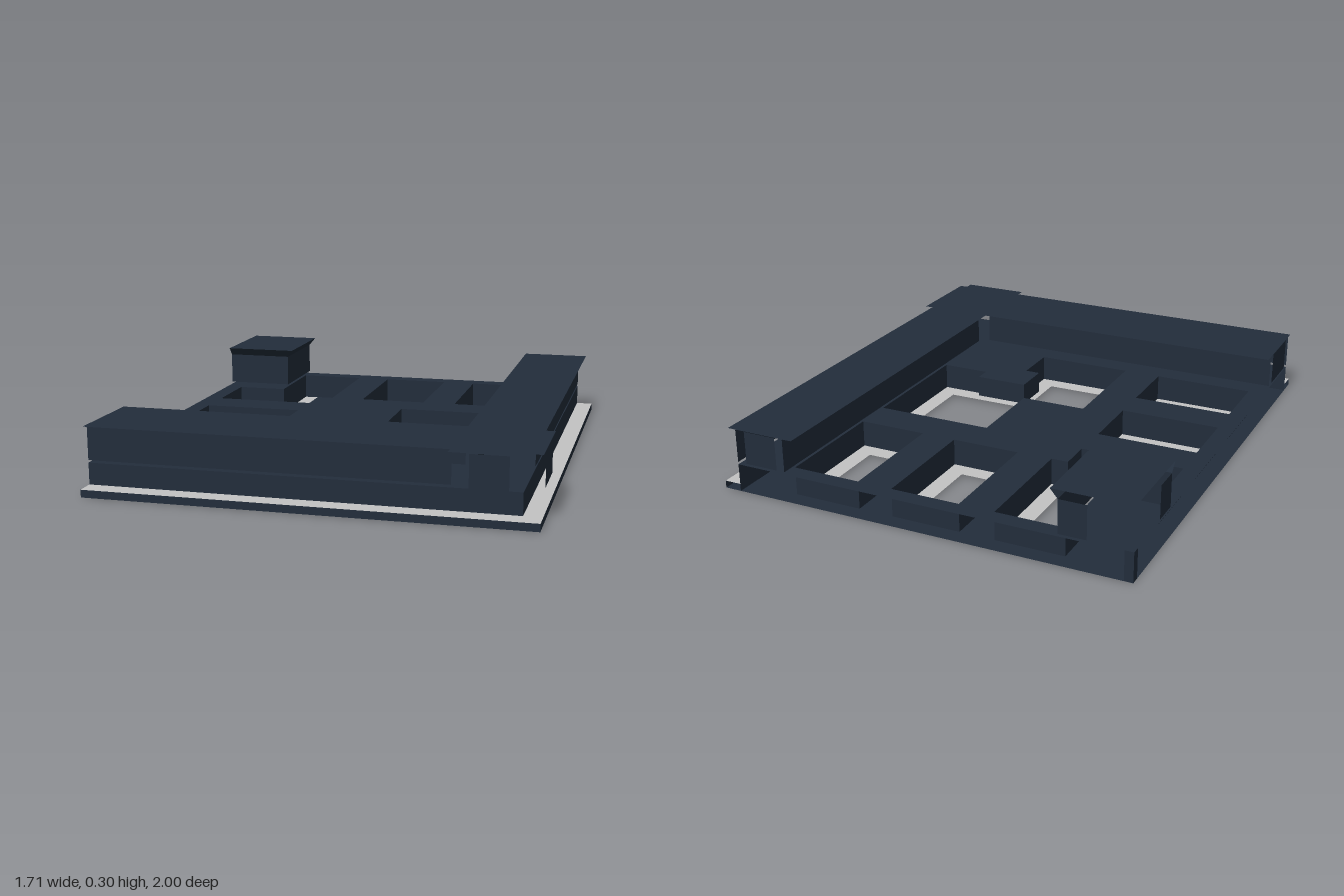
import * as THREE from 'three';

const navy = new THREE.MeshStandardMaterial({ color: 0x222d3b, side: THREE.DoubleSide });
navy.name = 'dark navy';
const grey = new THREE.MeshStandardMaterial({ color: 0xc4c4c4, side: THREE.DoubleSide });
grey.name = 'light grey';

// Window outlines in plan, as [x, z] corners; inner outlines sit 0.07 inside
const rect = (x0, x1, z0, z1) => [[x0, z0], [x1, z0], [x1, z1], [x0, z1]];
const windows = [
  rect(-0.145, 0.14, -0.93, -0.44),
  rect(0.285, 0.57, -0.93, -0.44),
  rect(-0.785, -0.365, -0.14, 0.13),
  rect(-0.785, -0.365, 0.285, 0.565),
  [[-0.57, -0.93], [-0.29, -0.93], [-0.29, -0.435], [-0.36, -0.435],
    [-0.36, -0.3], [-0.785, -0.3], [-0.785, -0.57], [-0.57, -0.57]],
  [[0.075, -0.28], [0.57, -0.28], [0.57, 0.28], [0.205, 0.28],
    [0.205, 0.565], [-0.205, 0.565], [-0.205, 0.075], [0.075, 0.075]],
];

// Moves every edge of a right-angled clockwise outline inward by d
function inset(points, d) {
  const n = points.length;
  const normal = (a, b) => {
    const l = Math.hypot(b[0] - a[0], b[1] - a[1]);
    return [-(b[1] - a[1]) / l, (b[0] - a[0]) / l];
  };
  return points.map((p, i) => {
    const n0 = normal(points[(i + n - 1) % n], p);
    const n1 = normal(p, points[(i + 1) % n]);
    return [p[0] + d * (n0[0] + n1[0]), p[1] + d * (n0[1] + n1[1])];
  });
}

function add(group, name, geometry, material) {
  const mesh = new THREE.Mesh(geometry, material);
  mesh.name = name;
  group.add(mesh);
  return mesh;
}

// Flat horizontal sheet with holes, facing up
function sheet(group, name, outline, holes, y, material) {
  const vec = (pts) => pts.map(([x, z]) => new THREE.Vector2(x, -z));
  const shape = new THREE.Shape(vec(outline));
  holes.forEach((h) => shape.holes.push(new THREE.Path(vec(h))));
  const geometry = new THREE.ShapeGeometry(shape);
  geometry.rotateX(-Math.PI / 2);
  add(group, name, geometry, material).position.y = y;
}

// Upright panel from plan point a to plan point b
function panel(group, name, a, b, y0, y1, material = navy) {
  const dx = b[0] - a[0], dz = b[1] - a[1];
  const mesh = add(group, name, new THREE.PlaneGeometry(Math.hypot(dx, dz), y1 - y0), material);
  mesh.position.set((a[0] + b[0]) / 2, (y0 + y1) / 2, (a[1] + b[1]) / 2);
  mesh.rotation.y = -Math.atan2(dz, dx);
}

export function createModel() {
  const model = new THREE.Group();

  // Floor deck, bottom sheet and the projecting rim
  const base = new THREE.Group();
  base.name = 'base';
  model.add(base);
  sheet(base, 'floorDeck', rect(-0.855, 0.785, -1, 0.925), windows, 0.12, navy);
  sheet(base, 'bottomSheet', rect(-0.855, 0.855, -1, 1), windows, 0.005, navy);
  panel(base, 'frontSkirt', [-0.855, 0.925], [0.785, 0.925], 0.005, 0.12);
  panel(base, 'sideSkirt', [0.785, 0.925], [0.785, -1], 0.005, 0.12);
  panel(base, 'frontRimEdge', [-0.855, 1], [0.855, 1], 0.005, 0.035);
  panel(base, 'sideRimEdge', [0.855, 1], [0.855, -1], 0.005, 0.035);
  sheet(base, 'rimTop', [[-0.855, 0.925], [0.785, 0.925], [0.785, -1],
    [0.855, -1], [0.855, 1], [-0.855, 1]], [], 0.035, grey);
  const post = add(base, 'cornerPost', new THREE.BoxGeometry(0.035, 0.12, 0.035), navy);
  post.position.set(-0.8375, 0.065, -0.9825);

  // Window wells with a pale ledge around each opening
  windows.forEach((outline) => {
    const well = new THREE.Group();
    well.name = 'windowWell';
    model.add(well);
    outline.forEach((p, i) =>
      panel(well, 'wellSide', p, outline[(i + 1) % outline.length], 0.005, 0.12));
    sheet(well, 'wellLedge', outline, [inset(outline, 0.07)], 0.01, grey);
  });

  // Raised block in the corner of the large window
  const block = add(model, 'innerBlock', new THREE.BoxGeometry(0.225, 0.09, 0.16), navy);
  block.position.set(0.2475, 0.08, 0.28);

  // Two walls that cross at the front corner, each with a flat cap
  const walls = new THREE.Group();
  walls.name = 'walls';
  model.add(walls);
  const low = 0.13, high = 0.265;
  panel(walls, 'frontWallOuter', [-0.855, 0.925], [0.53, 0.925], low, high);
  panel(walls, 'frontWallInner', [-0.855, 0.64], [0.53, 0.64], low, high);
  panel(walls, 'sideWallOuter', [0.785, 0.605], [0.785, -1], low, high);
  panel(walls, 'sideWallInner', [0.57, 0.605], [0.57, -1], low, high);
  for (const z of [1, -1]) panel(walls, 'sideWallEnd', [0.605, z], [0.745, z], low, high);
  for (const x of [0.855, -0.855]) panel(walls, 'frontWallEnd', [x, 0.885], [x, 0.68], low, high);
  sheet(walls, 'wallCap', [[0.53, -1], [0.82, -1], [0.82, 0.6], [0.855, 0.6],
    [0.855, 0.96], [0.82, 0.96], [0.82, 1], [0.53, 1], [0.53, 0.96],
    [-0.855, 0.96], [-0.855, 0.6], [0.53, 0.6]], [], 0.267, navy);

  // Back corner pillar with a flared top, open on its two outer sides
  const pillar = new THREE.Group();
  pillar.name = 'cornerPillar';
  model.add(pillar);
  panel(pillar, 'pillarFront', [-0.855, -0.64], [-0.57, -0.64], low, high);
  panel(pillar, 'pillarSide', [-0.57, -0.64], [-0.57, -1], low, high);
  panel(pillar, 'pillarBackReturn', [-0.68, -1], [-0.57, -1], low, high);
  panel(pillar, 'pillarOuterReturn', [-0.855, -0.75], [-0.855, -0.64], low, high);
  sheet(pillar, 'pillarCap', rect(-0.855, -0.54, -1, -0.61), [], 0.3, navy);
  const flare = new THREE.BufferGeometry();
  flare.setAttribute('position', new THREE.Float32BufferAttribute([
    -0.855, high, -0.64, -0.57, high, -0.64, -0.54, 0.3, -0.61, -0.855, 0.3, -0.61,
    -0.57, high, -0.64, -0.57, high, -1, -0.54, 0.3, -1, -0.54, 0.3, -0.61], 3));
  flare.setIndex([0, 1, 2, 0, 2, 3, 4, 5, 6, 4, 6, 7]);
  flare.computeVertexNormals();
  add(pillar, 'pillarFlare', flare, navy);

  return model;
}
